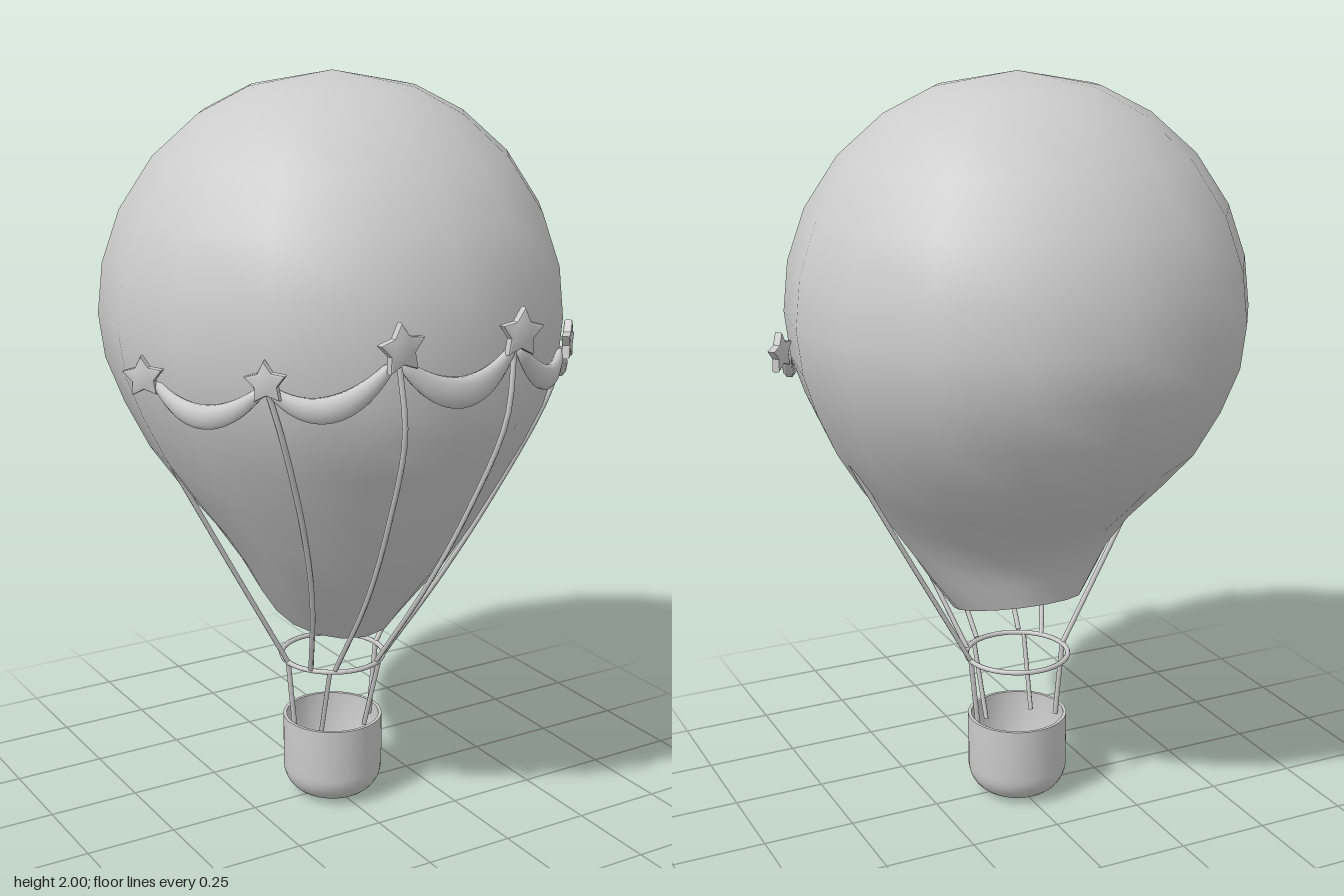
import * as THREE from 'three';
import { mergeVertices, toCreasedNormals } from 'three/addons/utils/BufferGeometryUtils.js';

const V = (x, y, z) => new THREE.Vector3(x, y, z);
const material = new THREE.MeshStandardMaterial({ color: 0xcccccc, side: THREE.DoubleSide });

function add(parent, name, geometry) {
  const mesh = new THREE.Mesh(geometry, material);
  mesh.name = name;
  parent.add(mesh);
  return mesh;
}

// Smooth skin over closed loops that all have the same number of points
function loft(loops) {
  const n = loops[0].length;
  const index = [];
  for (let i = 0; i < loops.length - 1; i++) {
    for (let j = 0; j < n; j++) {
      const a = i * n + j, b = i * n + ((j + 1) % n);
      index.push(a, b, a + n, b, b + n, a + n);
    }
  }
  let g = new THREE.BufferGeometry().setFromPoints(loops.flat());
  g.setIndex(index);
  g = mergeVertices(g, 1e-5);
  g.computeVertexNormals();
  return g;
}

// Tilted envelope section: front z and y, back z and y, half width
function section([zf, yf, zb, yb, w]) {
  return Array.from({ length: 16 }, (_, j) => {
    const a = (j / 16) * Math.PI * 2, c = Math.cos(a);
    return V(w * Math.sin(a),
      (yf + yb) / 2 + c * (yf - yb) / 2,
      (zf + zb) / 2 + c * (zf - zb) / 2);
  });
}

function buildEnvelope(parent) {
  const sections = [
    [0.177, 0.52, -0.18, 0.62, 0.175],
    [0.235, 0.60, -0.195, 0.69, 0.23],
    [0.325, 0.71, -0.215, 0.75, 0.285],
    [0.40, 0.83, -0.27, 0.825, 0.35],
    [0.47, 0.96, -0.365, 0.915, 0.43],
    [0.53, 1.07, -0.47, 1.02, 0.50],
    [0.578, 1.17, -0.55, 1.15, 0.555],
    [0.597, 1.27, -0.60, 1.275, 0.595],
    [0.602, 1.39, -0.61, 1.39, 0.61],
  ];
  // Spherical crown
  for (const deg of [12.5, 26, 41, 56, 69.5, 90]) {
    const t = THREE.MathUtils.degToRad(deg);
    const r = 0.61 * Math.cos(t), y = 1.39 + 0.61 * Math.sin(t);
    sections.push([r * 0.99, y, -r, y, r]);
  }
  const loops = sections.map(section);
  add(parent, 'envelope', loft(loops));
  const centre = loops[0].map(() => V(0, 0.57, 0));
  add(parent, 'envelopeMouth', loft([centre, loops[0]]));
}

function buildBasket(parent) {
  const profile = [new THREE.Vector2(0, 0)];
  for (let i = 0; i <= 8; i++) {
    const a = (i / 8) * Math.PI / 2;
    profile.push(new THREE.Vector2(0.055 + 0.083 * Math.sin(a), 0.083 - 0.083 * Math.cos(a)));
  }
  // Rim, then the inside
  for (const [x, y] of [[0.138, 0.232], [0.129, 0.232], [0.129, 0.085], [0.105, 0.035], [0.055, 0.012], [0, 0.012]]) {
    profile.push(new THREE.Vector2(x, y));
  }
  add(parent, 'basket', toCreasedNormals(new THREE.LatheGeometry(profile, 32), 0.7));

  const hoop = add(parent, 'loadRing', new THREE.TorusGeometry(0.141, 0.007, 8, 36));
  hoop.rotation.x = Math.PI / 2;
  hoop.position.y = 0.412;
}

function buildRopes(parent) {
  const ropes = [
    // Front rope
    [[0.165, 1.38, 0.58], [0.147, 1.2, 0.582], [0.12, 0.95, 0.475], [0.09, 0.69, 0.325], [0.066, 0.42, 0.127]],
    [[0.078, 0.412, 0.118], [0.07, 0.2, 0.055]],
    // Diagonal rope
    [[0.43, 1.31, 0.43], [0.39, 1.19, 0.425], [0.29, 0.93, 0.345], [0.2, 0.68, 0.235], [0.115, 0.412, 0.08]],
    // Side rope
    [[0.475, 1.025, 0], [0.31, 0.72, 0], [0.141, 0.412, 0]],
    [[0.141, 0.412, 0], [0.12, 0.2, 0]],
  ];
  for (const side of [1, -1]) {
    for (const points of ropes) {
      const curve = new THREE.CatmullRomCurve3(points.map(([x, y, z]) => V(side * x, y, z)));
      add(parent, 'rope', new THREE.TubeGeometry(curve, points.length > 2 ? 20 : 1, 0.007, 6));
    }
  }
}

// Sagging crescent of cloth wrapped round the envelope
function garland(a0, a1, y0, y1, sag, thick) {
  const at = (t) => {
    const a = a0 + (a1 - a0) * t;
    return V(0.602 * Math.sin(a), y0 + (y1 - y0) * t - sag * 4 * t * (1 - t), 0.602 * Math.cos(a));
  };
  const loops = [];
  const steps = 20;
  for (let i = 0; i <= steps; i++) {
    const t = i / steps, p = at(t);
    const out = V(p.x, 0, p.z).normalize();
    const tangent = at(t + 0.01).sub(at(t - 0.01)).normalize();
    const up = out.clone().cross(tangent).normalize();
    const closed = i === 0 || i === steps ? 0 : 1;
    const h = closed * (0.011 + thick * Math.sin(Math.PI * t));
    const d = closed * (0.010 + 0.008 * Math.sin(Math.PI * t));
    loops.push(Array.from({ length: 10 }, (_, j) => {
      const b = (j / 10) * Math.PI * 2;
      return p.clone().addScaledVector(out, d * Math.cos(b)).addScaledVector(up, h * Math.sin(b));
    }));
  }
  return loft(loops);
}

function starGeometry(r) {
  const shape = new THREE.Shape();
  for (let i = 0; i < 10; i++) {
    const a = (i / 10) * Math.PI * 2, q = i % 2 ? r * 0.56 : r;
    shape[i ? 'lineTo' : 'moveTo'](q * Math.sin(a), q * Math.cos(a));
  }
  shape.closePath();
  const g = new THREE.ExtrudeGeometry(shape, {
    depth: 0.012, bevelThickness: 0.005, bevelSize: 0.006, bevelOffset: -0.006, bevelSegments: 2,
  });
  g.translate(0, 0, -0.006);
  return toCreasedNormals(g, 0.6);
}

function buildDecoration(parent) {
  const rad = THREE.MathUtils.degToRad;
  add(parent, 'garland', garland(rad(-16), rad(16), 1.385, 1.385, 0.095, 0.029));
  for (const s of [1, -1]) {
    // Garlands always run from the model's right to its left
    const run = (a, b, ya, yb, sag, thick) => add(parent, 'garland', s > 0
      ? garland(rad(a), rad(b), ya, yb, sag, thick)
      : garland(rad(-b), rad(-a), yb, ya, sag, thick));
    run(17, 45, 1.38, 1.315, 0.078, 0.022);
    run(46, 76, 1.315, 1.295, 0.075, 0.02);

    // Stars: position, facing angle, radius
    for (const [x, y, z, turn, r] of [
      [0.17, 1.412, 0.597, 0, 0.065],
      [0.438, 1.333, 0.438, 45, 0.054],
      [0.608, 1.305, 0.135, 45, 0.054],
    ]) {
      const star = add(parent, 'star', starGeometry(r));
      star.position.set(s * x, y, z);
      star.rotation.set(0, s * rad(turn), -s * 0.08);
    }
  }
}

export function createModel() {
  const model = new THREE.Group();
  model.name = 'hotAirBalloon';
  buildEnvelope(model);
  buildBasket(model);
  buildRopes(model);
  buildDecoration(model);
  return model;
}
